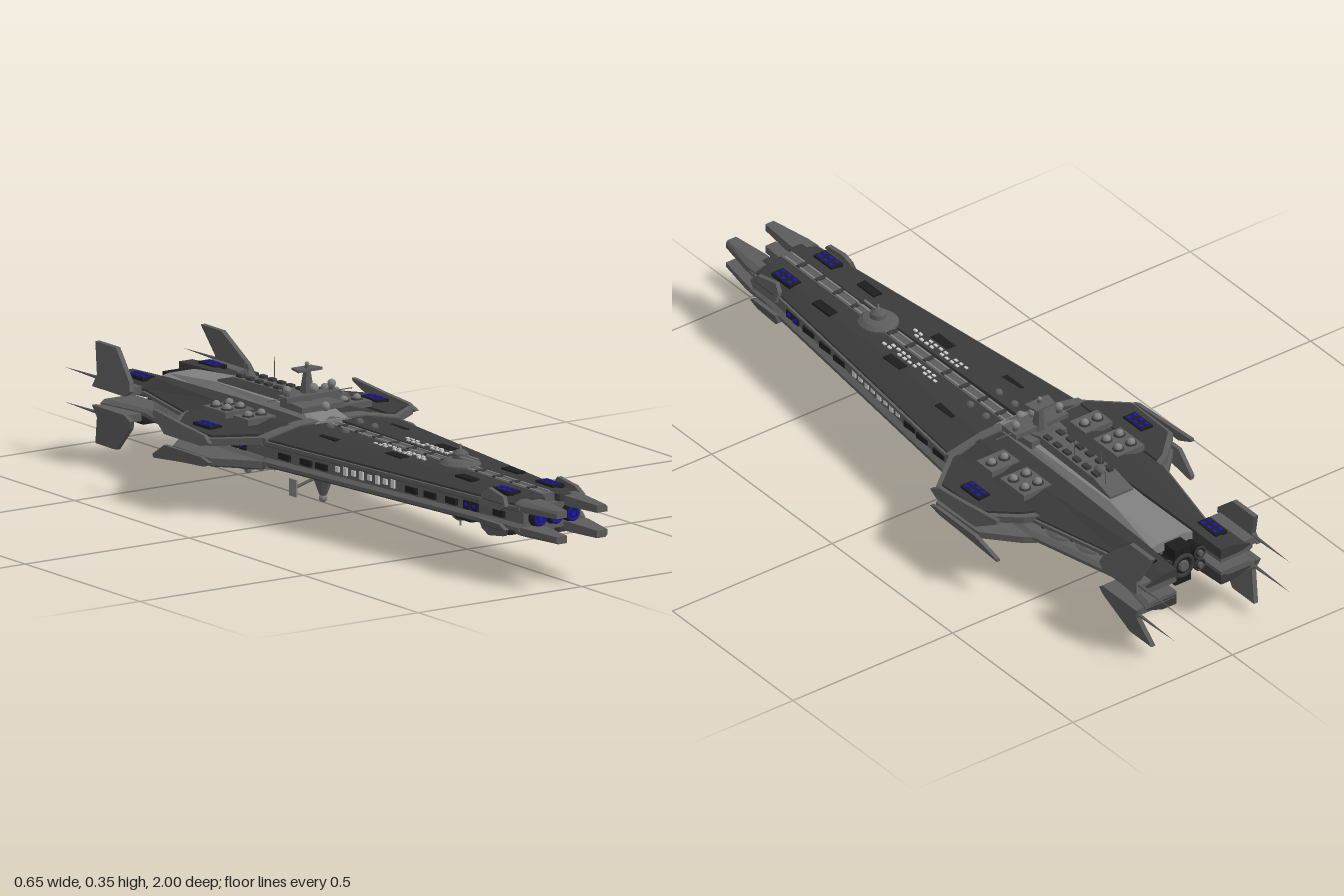
import * as THREE from 'three';

const MID = 0.16; // height of the plane that mirrors the upper and lower hull
const mat = (c) => new THREE.MeshStandardMaterial({ color: c, flatShading: true });

export function createModel() {
  const ship = new THREE.Group();
  ship.name = 'ship';
  const M = { deck: mat(0x3a3a3a), hull: mat(0x5c5c5c), light: mat(0x808080), black: mat(0x1c1c1c), blue: mat(0x1a10c8), lamp: mat(0xcccccc) };

  // Adds a mesh; sym 'x' and 'y' also add baked mirror copies
  function put(name, geo, m, sym = '') {
    for (const sx of sym.includes('x') ? [1, -1] : [1]) for (const sy of sym.includes('y') ? [1, -1] : [1]) {
      const g = geo.index ? geo.toNonIndexed() : geo.clone();
      g.translate(0, -MID, 0).scale(sx, sy, 1).translate(0, MID, 0);
      if (sx * sy < 0) {
        const p = g.attributes.position;
        for (let i = 0; i < p.count; i += 3) {
          const b = [p.getX(i + 1), p.getY(i + 1), p.getZ(i + 1)];
          p.setXYZ(i + 1, p.getX(i + 2), p.getY(i + 2), p.getZ(i + 2));
          p.setXYZ(i + 2, ...b);
        }
      }
      g.computeVertexNormals();
      const mesh = new THREE.Mesh(g, m);
      mesh.name = name;
      ship.add(mesh);
    }
  }
  // Skin over convex sections [z, [[x, y], ...]] ordered back to front, counter-clockwise from the front
  function loft(sections) {
    const v = [], n = sections[0][1].length;
    const P = (s, j) => [...sections[s][1][j % n], sections[s][0]];
    for (let s = 0; s + 1 < sections.length; s++) for (let j = 0; j < n; j++) {
      const a = P(s, j), b = P(s, j + 1), c = P(s + 1, j + 1), d = P(s + 1, j);
      v.push(...a, ...b, ...c, ...a, ...c, ...d);
    }
    const e = sections.length - 1;
    for (let j = 1; j + 1 < n; j++) v.push(...P(e, 0), ...P(e, j), ...P(e, j + 1), ...P(0, 0), ...P(0, j + 1), ...P(0, j));
    return new THREE.BufferGeometry().setAttribute('position', new THREE.Float32BufferAttribute(v, 3));
  }
  const shape = (pts) => new THREE.Shape(pts.map((p) => new THREE.Vector2(...p)));
  const extrude = (pts, depth) => new THREE.ExtrudeGeometry(shape(pts), { depth, bevelEnabled: false });
  // Flat plate from an x-z outline, and upright fin from a z-y outline leaning inwards
  const plate = (pts, y0, y1) => extrude(pts, y1 - y0).rotateX(Math.PI / 2).translate(0, y1, 0);
  function fin(pts, x, y, lean, t) {
    const g = extrude(pts, t).rotateY(-Math.PI / 2), p = g.attributes.position;
    for (let i = 0; i < p.count; i++) p.setX(i, p.getX(i) + x - (p.getY(i) - y) * lean);
    return g;
  }
  const box = (x, y, z, w, h, d) => new THREE.BoxGeometry(w, h, d).translate(x, y, z);
  const ball = (x, y, z, r) => new THREE.SphereGeometry(r, 14, 10).translate(x, y, z);
  const cyl = (x, y, z, r0, r1, h, n = 16) => new THREE.CylinderGeometry(r1, r0, h, n).translate(x, y, z);
  const cylZ = (x, y, z, rBack, rFront, h, n = 20) => new THREE.CylinderGeometry(rFront, rBack, h, n).rotateX(Math.PI / 2).translate(x, y, z);
  const rod = (a, b, r, n = 6) => new THREE.TubeGeometry(new THREE.LineCurve3(new THREE.Vector3(...a), new THREE.Vector3(...b)), 1, r, n);
  const rect = (w, y0, y1) => [[-w, y0], [w, y0], [w, y1], [-w, y1]];

  // Central hull between the decks
  put('hullCore', loft([[-0.74, rect(0.075, 0.125, 0.195)], [-0.42, rect(0.15, 0.125, 0.19)], [-0.38, rect(0.19, 0.125, 0.19)],
    [-0.1, rect(0.193, 0.125, 0.19)], [0.87, rect(0.088, 0.125, 0.19)]]), M.hull);

  // Armoured decks with a lighter trim, upper and lower, both sides
  const deck = (z, xi, xo, top) => [z, [[xi, 0.184], [xo, 0.184], [xo, 0.196], [xi + (xo - xi) * 0.45, top], [xi, top]]];
  const trim = (z, xi, xo) => [z, [[xi, 0.174], [xo - 0.006, 0.174], [xo + 0.007, 0.182], [xo + 0.007, 0.191], [xi, 0.191]]];
  const fore = [[-0.1, 0.024, 0.2, 0.217], [0.87, 0.022, 0.094, 0.208]];
  const aft = [[-0.86, 0.07, 0.162, 0.212], [-0.71, 0.066, 0.135, 0.218], [-0.42, 0.06, 0.203, 0.222], [-0.11, 0.055, 0.203, 0.22]];
  put('foreDeck', loft(fore.map((s) => deck(...s))), M.deck, 'xy');
  put('foreTrim', loft(fore.map((s) => trim(...s))), M.hull, 'xy');
  put('aftDeck', loft(aft.map((s) => deck(...s))), M.deck, 'xy');
  put('aftTrim', loft(aft.map((s) => trim(...s))), M.hull, 'xy');
  put('crossBeam', loft([[-0.115, [[0, 0.19], [0.21, 0.185], [0.21, 0.2], [0.1, 0.224], [0, 0.228]]],
    [-0.085, [[0, 0.19], [0.207, 0.185], [0.207, 0.199], [0.1, 0.22], [0, 0.224]]]]), M.hull, 'xy');

  // Bow prongs, bow lamps and cheek fins
  put('bowProng', loft([[0.85, [[0.036, 0.182], [0.1, 0.182], [0.1, 0.197], [0.085, 0.206], [0.036, 0.206]]],
    [0.89, [[0.036, 0.18], [0.098, 0.18], [0.098, 0.196], [0.083, 0.205], [0.036, 0.205]]],
    [1, [[0.046, 0.183], [0.078, 0.183], [0.078, 0.195], [0.072, 0.202], [0.046, 0.202]]]]), M.hull, 'xy');
  for (const x of [-0.05, 0, 0.05]) {
    put('bowLampHousing', cylZ(x, MID, 0.875, 0.024, 0.02, 0.03), M.black);
    put('bowLampRing', new THREE.TorusGeometry(0.015, 0.003, 6, 20).translate(x, MID, 0.89), M.blue);
    put('bowLamp', cylZ(x, MID, 0.89, 0.007, 0.007, 0.008, 12), M.blue);
  }
  put('cheekFin', fin([[0.73, 0.178], [0.82, 0.178], [0.84, 0.19], [0.82, 0.21], [0.75, 0.221], [0.73, 0.205]], 0.128, 0.178, 0.4, 0.012), M.hull, 'xy');
  put('cheekMount', box(0.107, 0.188, 0.785, 0.03, 0.014, 0.08), M.deck, 'xy');

  // Fore spine with pipes, ribs and lamps along it
  put('spine', box(0, 0.2, 0.38, 0.036, 0.024, 0.95), M.hull, 'y');
  put('spinePipe', box(0.012, 0.212, 0.38, 0.005, 0.006, 0.92), M.light, 'xy');
  for (let i = 0; i < 12; i++) put('spineRib', box(0, 0.213, -0.04 + i * 0.075, 0.03, 0.006, 0.012), M.deck, 'y');
  for (let i = 0; i < 11; i++) for (const x of [0.036, 0.049])
    if ((i * 3 + (x > 0.04 ? 1 : 0)) % 5) put('deckLamp', box(x, 0.215, 0.17 + i * 0.021, 0.007, 0.004, 0.011), M.lamp, 'xy');
  for (const [x, z] of [[0.1, 0.05], [0.075, 0.3], [0.07, 0.6]])
    put('deckHatch', box(x, 0.212, z, 0.026, 0.006, 0.07), M.black, 'xy');

  // Round fore turret
  const turret = [[0.052, 0.208], [0.052, 0.216], [0.04, 0.226], [0.022, 0.23], [0.02, 0.242], [0.01, 0.25], [0.0, 0.251]];
  put('foreTurret', new THREE.LatheGeometry(turret.map((p) => new THREE.Vector2(...p)), 24).translate(0, 0, 0.47), M.hull, 'y');
  put('turretMast', cyl(0, 0.255, 0.47, 0.003, 0.002, 0.02, 6), M.light, 'y');
  put('turretBarrel', rod([0.01, 0.235, 0.48], [0.01, 0.235, 0.54], 0.003), M.light, 'xy');
  for (const z of [-0.035, 0.03]) put('smallDome', ball(0.045, 0.217, z, 0.011), M.hull, 'xy');

  // Flank details: window bands, lamps and vents along the slanted sides
  const flank = (z) => 0.193 - (z + 0.1) * 0.1082;
  for (let i = 0; i < 8; i++) put('flankLamp', box(flank(0.17 + i * 0.03), 0.164, 0.17 + i * 0.03, 0.008, i % 2 ? 0.022 : 0.014, 0.015), M.lamp, 'x');
  for (const z of [-0.03, 0.05, 0.11, 0.45, 0.52, 0.6, 0.78]) put('flankVent', box(flank(z), MID, z, 0.012, 0.016, 0.045), M.black, 'x');
  for (const z of [0.66, 0.69]) {
    put('flankPort', box(flank(z), MID, z, 0.012, 0.022, 0.024), M.black, 'x');
    put('flankPortLamp', ball(flank(z) + 0.004, MID, z, 0.007), M.blue, 'x');
  }
  for (const z of [-0.2, -0.235, -0.27, -0.305]) {
    put('wingPort', box(0.192, MID, z, 0.014, 0.024, 0.026), M.black, 'x');
    put('wingPortLamp', ball(0.197, MID, z, 0.007), M.blue, 'x');
  }

  // Side wings and their winglets
  const wing = [[0.19, -0.45], [0.225, -0.43], [0.305, -0.35], [0.31, -0.18], [0.21, -0.1], [0.19, -0.1]];
  const droop = (g) => {
    const p = g.attributes.position;
    for (let i = 0; i < p.count; i++) p.setY(i, p.getY(i) - (p.getX(i) - 0.2) * 0.06);
    return g;
  };
  put('wing', droop(plate(wing, 0.182, 0.2)), M.hull, 'xy');
  put('wingArmour', droop(plate(wing.map(([x, z]) => [0.19 + (x - 0.19) * 0.9, -0.27 + (z + 0.27) * 0.9]), 0.2, 0.206)), M.deck, 'xy');
  put('winglet', fin([[-0.36, 0.174], [-0.2, 0.174], [-0.17, 0.185], [-0.2, 0.2], [-0.3, 0.208], [-0.43, 0.222], [-0.43, 0.212]], 0.325, 0.174, 0.35, 0.011), M.hull, 'xy');

  // Black panels with blue lamps on wings, bow and stern
  for (const [x, y, z] of [[0.255, 0.204, -0.27], [0.066, 0.21, 0.765], [0.11, 0.215, -0.77]]) {
    put('lampPanel', box(x, y, z, 0.036, 0.01, 0.075), M.black, 'xy');
    for (const dx of [-0.009, 0.009]) for (const dz of [-0.024, 0, 0.024])
      put('panelLamp', box(x + dx, y + 0.005, z + dz, 0.008, 0.004, 0.012), M.blue, 'xy');
  }

  // Paired gun domes on the aft decks
  for (const [z, d] of [[-0.335, 0.1], [-0.22, 0.065]]) {
    put('gunBase', box(0.146, 0.217, z, 0.086, 0.016, d), M.hull, 'xy');
    for (const dx of [-0.02, 0.02]) for (const dz of d > 0.08 ? [-0.024, 0.024] : [0]) {
      put('gunCollar', cyl(0.146 + dx, 0.226, z + dz, 0.016, 0.014, 0.006), M.deck, 'xy');
      put('gunDome', ball(0.146 + dx, 0.229, z + dz, 0.011), M.light, 'xy');
    }
  }

  // Aft superstructure, tapering ridge with a raised block
  const ridge = (z, w, t, y) => [z, [[-w, 0.19], [w, 0.19], [w, 0.212], [t, y], [-t, y], [-w, 0.212]]];
  put('ridge', loft([ridge(-0.75, 0.064, 0.04, 0.218), ridge(-0.55, 0.062, 0.042, 0.236), ridge(-0.16, 0.062, 0.045, 0.238), ridge(-0.08, 0.07, 0.04, 0.222)]), M.light, 'y');
  put('ridgeBlock', loft([[-0.54, rect(0.036, 0.225, 0.242)], [-0.47, rect(0.034, 0.225, 0.26)], [-0.24, rect(0.03, 0.225, 0.262)], [-0.17, rect(0.04, 0.225, 0.245)]]), M.hull);
  put('keelBlock', loft([[-0.54, rect(0.036, 0.075, 0.095)], [-0.2, rect(0.036, 0.07, 0.095)]]), M.hull);
  for (let i = 0; i < 6; i++) put('ridgeUnit', box(0.02, 0.262, -0.46 + i * 0.04, 0.014, 0.012, 0.022), M.deck, 'x');
  put('ridgeDome', ball(0, 0.26, -0.45, 0.016), M.hull);
  for (const [x, z, h] of [[0.02, -0.37, 0.07], [-0.02, -0.43, 0.045], [0.02, -0.5, 0.04]])
    put('antenna', cyl(x, 0.255 + h / 2, z, 0.0015, 0.001, h, 5), M.hull);
  for (const [x, z, h] of [[0, -0.52, 0.045], [0.03, -0.58, 0.03], [-0.03, -0.3, 0.03]])
    put('keelAntenna', cyl(x, 0.08 - h / 2, z, 0.001, 0.002, h, 5), M.hull);

  // Command tower
  put('towerBase', loft([[-0.24, rect(0.055, 0.232, 0.252)], [-0.13, rect(0.065, 0.235, 0.25)]]), M.hull);
  put('towerBridge', box(0, 0.263, -0.19, 0.165, 0.013, 0.04), M.hull);
  put('towerShaft', cyl(0, 0.29, -0.2, 0.022, 0.008, 0.085, 8), M.hull);
  put('towerArm', loft([[-0.225, rect(0.03, 0.326, 0.331)], [-0.185, rect(0.037, 0.325, 0.332)]]), M.hull);
  put('towerHead', cyl(0, 0.33, -0.2, 0.009, 0.005, 0.026, 8), M.hull);
  put('towerTopDome', ball(0, 0.342, -0.2, 0.006), M.light);
  put('towerBall', ball(0, 0.285, -0.172, 0.013), M.light);
  put('lowerBall', ball(0, 0.248, -0.12, 0.012), M.light);
  put('sensorNeck', cyl(0.068, 0.275, -0.19, 0.008, 0.008, 0.015, 10), M.hull, 'x');
  put('sensorDome', ball(0.068, 0.285, -0.19, 0.011), M.light, 'x');
  put('crossAntenna', rod([-0.13, 0.265, -0.19], [0.13, 0.265, -0.19], 0.0015, 5), M.hull);

  // Keel tower with strutted paddles
  put('keelTower', cyl(0, 0.055, -0.13, 0.01, 0.036, 0.07, 8), M.hull);
  put('keelStem', cyl(0, 0.022, -0.13, 0.008, 0.01, 0.03, 8), M.hull);
  put('keelBall', ball(0, 0.011, -0.13, 0.011), M.light);
  put('keelSensor', ball(0, 0.066, -0.1, 0.013), M.light);
  put('keelStrut', rod([0.015, 0.068, -0.13], [0.088, 0.048, -0.13], 0.004), M.hull, 'x');
  put('keelPaddle', box(0.091, 0.049, -0.13, 0.005, 0.044, 0.03), M.light, 'x');

  // Side tanks held between the aft decks
  for (const [z, x] of [[-0.48, 0.145], [-0.57, 0.122], [-0.66, 0.1]]) {
    put('tank', new THREE.SphereGeometry(1, 20, 14).scale(0.036, 0.033, 0.043).translate(x, MID, z), M.light, 'x');
    put('tankBracket', box(x, MID, z + 0.045, 0.05, 0.058, 0.008), M.deck, 'x');
  }

  // Stern fins with trailing spikes
  put('sternFin', fin([[-0.7, 0.198], [-0.72, 0.184], [-0.86, 0.184], [-0.85, 0.215], [-0.885, 0.291], [-0.795, 0.291], [-0.71, 0.22]], 0.195, 0.184, 0.26, 0.013), M.hull, 'xy');
  put('sternFinRoot', box(0.165, 0.195, -0.785, 0.04, 0.02, 0.14), M.hull, 'xy');
  put('sternSpike', new THREE.ConeGeometry(0.005, 0.16, 6).rotateX(-Math.PI / 2).translate(0.181, 0.205, -0.92), M.hull, 'xy');

  // Engines
  for (const [x, y, r] of [[0, MID, 0.034], [0.052, 0.178, 0.018], [-0.052, 0.178, 0.018], [0.052, 0.142, 0.018], [-0.052, 0.142, 0.018]]) {
    put('engineNozzle', cylZ(x, y, -0.765, r, r * 0.8, 0.06), M.black);
    put('engineRing', new THREE.TorusGeometry(r * 0.85, r * 0.16, 6, 20).translate(x, y, -0.796), M.deck);
    put('engineCore', cylZ(x, y, -0.797, r * 0.4, r * 0.5, 0.012, 12), M.hull);
  }
  put('engineBlock', box(0, 0.197, -0.77, 0.05, 0.03, 0.05), M.black, 'y');
  return ship;
}
